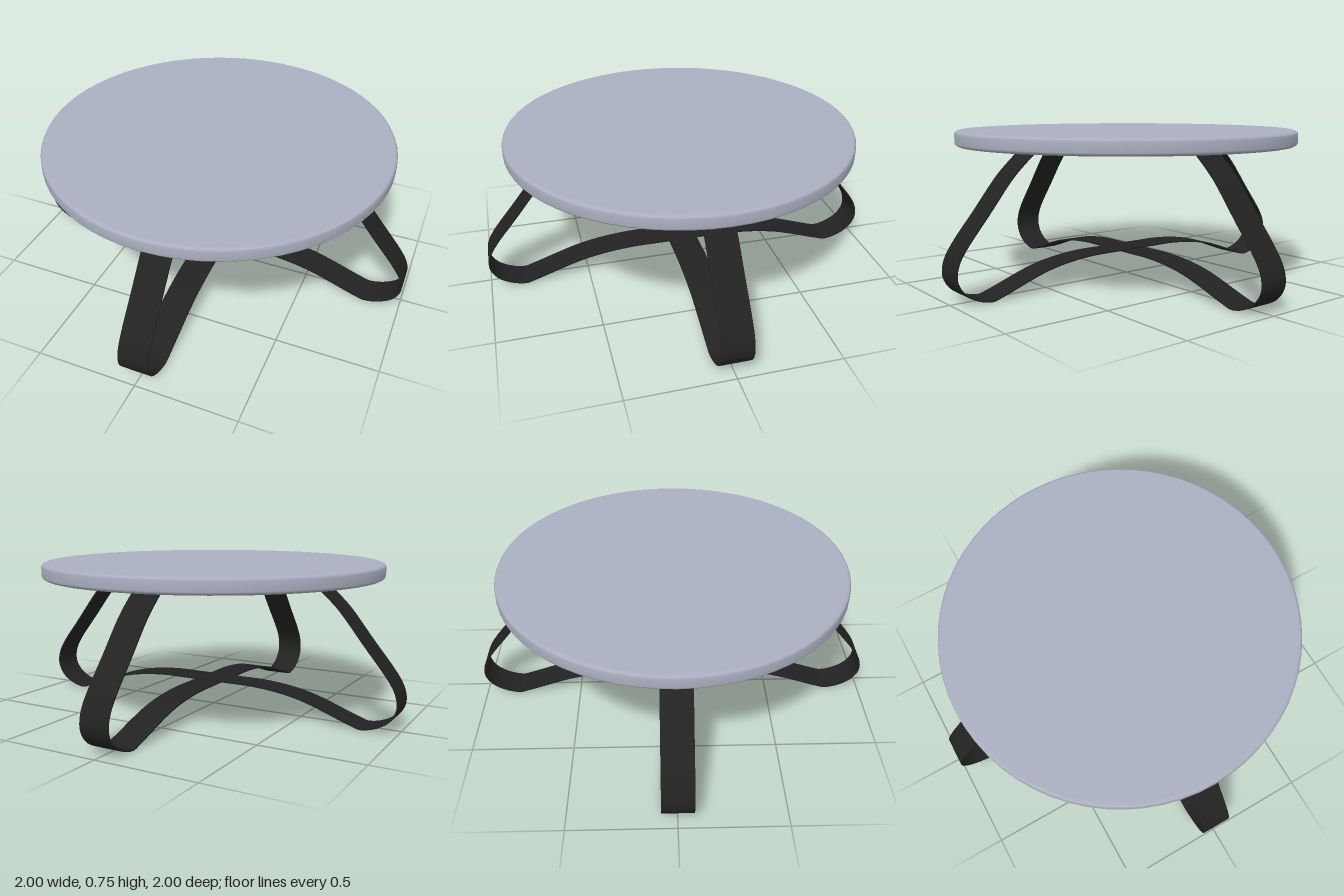
import * as THREE from 'three';
import { toCreasedNormals } from 'three/addons/utils/BufferGeometryUtils.js';

const THICK = 0.007, WIDTH = 0.148;

// Centre line of one strap, from the middle of the arch out to the mounting tab
function strapPath(archY) {
  const k = archY / 0.145;
  const half = [
    [0.13, archY], [0.267, archY - 0.001], [0.417, 0.129 * k], [0.55, 0.1 * k], [0.78, 0.019],
    [0.825, 0.0075], [0.9, 0.025], [0.96, 0.063], [0.99, 0.11], [0.995, 0.15], [0.983, 0.2],
    [0.95, 0.257], [0.83, 0.407], [0.716, 0.55], [0.67, 0.597], [0.6, 0.659], [0.575, 0.677],
    [0.55, 0.679], [0.3, 0.679],
  ].map(([x, y]) => new THREE.Vector3(x, y, 0));
  const other = half.map(p => new THREE.Vector3(-p.x, p.y, 0)).reverse();
  return new THREE.CatmullRomCurve3([...other, ...half], false, 'centripetal');
}

// Flat bar bent along the path, with real thickness
function strapGeometry(archY) {
  const curve = strapPath(archY), n = 180, outer = [], inner = [];
  for (let i = 0; i <= n; i++) {
    const p = curve.getPoint(i / n), t = curve.getTangent(i / n);
    const dx = -t.y * THICK / 2, dy = t.x * THICK / 2;
    outer.push(new THREE.Vector2(p.x + dx, p.y + dy));
    inner.push(new THREE.Vector2(p.x - dx, p.y - dy));
  }
  const shape = new THREE.Shape([...outer, ...inner.reverse()]);
  const g = new THREE.ExtrudeGeometry(shape, { depth: WIDTH, bevelEnabled: false });
  g.translate(0, 0, -WIDTH / 2);
  return toCreasedNormals(g, 0.6);
}

export function createModel() {
  const group = new THREE.Group();
  const topMat = new THREE.MeshStandardMaterial({ name: 'greyBlueTop', color: 0xabb0c1 });
  const metal = new THREE.MeshStandardMaterial({ name: 'blackMetal', color: 0x222222 });
  const add = (name, geo, mat, parent = group) => {
    const m = new THREE.Mesh(geo, mat);
    m.name = name;
    parent.add(m);
    return m;
  };

  // Round top with softened edges
  const profile = [[0, 0.683], [0.846, 0.683], [0.857, 0.689], [0.862, 0.698],
    [0.862, 0.742], [0.857, 0.752], [0.844, 0.758], [0, 0.758]];
  add('tableTop', new THREE.LatheGeometry(profile.map(p => new THREE.Vector2(...p)), 64), topMat);

  // Two crossed straps, each forming a pair of legs
  const screw = new THREE.SphereGeometry(0.012, 12, 6, 0, Math.PI * 2, Math.PI / 2, Math.PI / 2);
  [0.145, 0.1375].forEach((archY, i) => {
    const frame = new THREE.Group();
    frame.name = i ? 'frontBackLegs' : 'sideLegs';
    frame.rotation.y = i * Math.PI / 2;
    group.add(frame);
    add('strap', strapGeometry(archY), metal, frame);
    // Screws under the mounting tabs
    for (const x of [-0.46, -0.38, 0.38, 0.46]) {
      add('screw', screw, metal, frame).position.set(x, 0.676, 0);
    }
  });

  // Bolt joining the straps where they cross
  add('centreBolt', new THREE.CylinderGeometry(0.012, 0.012, 0.017, 16), metal).position.y = 0.1415;
  return group;
}
